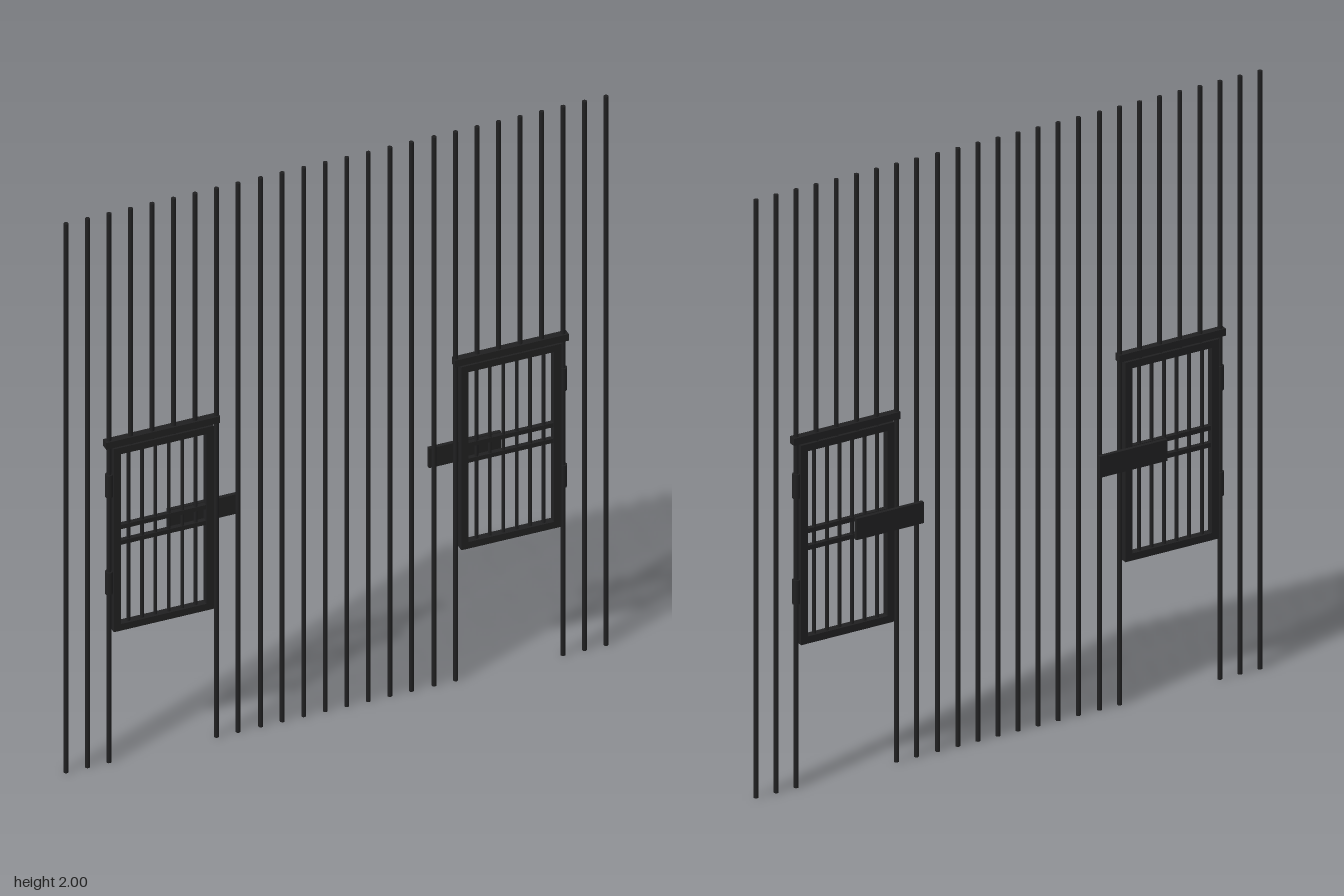
import * as THREE from 'three';

export function createModel() {
  const model = new THREE.Group();
  model.name = 'barredWall';
  const iron = new THREE.MeshStandardMaterial({ color: 0x202021 });
  iron.name = 'dark iron';
  const Z = 0.0055; // plane of the bars

  const add = (parent, geometry, name, x, y, z = Z) => {
    const mesh = new THREE.Mesh(geometry, iron);
    mesh.name = name;
    mesh.position.set(x, y, z);
    parent.add(mesh);
  };
  // upright round rod between two heights
  const rod = (parent, name, x, y0, y1, r) =>
    add(parent, new THREE.CylinderGeometry(r, r, y1 - y0, 12), name, x, (y0 + y1) / 2);
  // box between two corners in the xy plane
  const box = (parent, name, x0, x1, y0, y1, z0 = Z - 0.012, z1 = Z + 0.012) =>
    add(parent, new THREE.BoxGeometry(x1 - x0, y1 - y0, z1 - z0), name,
      (x0 + x1) / 2, (y0 + y1) / 2, (z0 + z1) / 2);

  for (const side of [1, -1]) {
    // wall bars: four in the middle section, nine in the gate section
    for (let i = 0; i < 4; i++) rod(model, 'wallBar', side * (0.0352 + i * 0.0704), 0, 2, 0.0075);
    for (let i = 0; i < 9; i++) {
      const overGate = i >= 2 && i <= 5;
      rod(model, overGate ? 'barAboveGate' : 'wallBar', side * (0.321 + i * 0.0703), overGate ? 1.142 : 0, 2, 0.0075);
    }

    const gate = new THREE.Group();
    gate.name = side > 0 ? 'leftGate' : 'rightGate';
    model.add(gate);
    // signed helper so both gates mirror each other
    const part = (name, a, b, ...rest) =>
      box(gate, name, Math.min(side * a, side * b), Math.max(side * a, side * b), ...rest);

    // lintel and door frame
    part('lintel', 0.384, 0.757, 1.149, 1.173);
    part('frameTop', 0.405, 0.732, 1.12, 1.144);
    part('frameBottom', 0.405, 0.732, 0.477, 0.501);
    part('frameInnerPost', 0.405, 0.429, 0.501, 1.12);
    part('frameOuterPost', 0.708, 0.732, 0.501, 1.12);

    // door bars and the two rails beside the lock
    for (let i = 0; i < 6; i++) rod(gate, 'doorBar', side * (0.459 + i * 0.0441), 0.49, 1.13, 0.006);
    for (const y of [0.794, 0.851]) part('doorRail', 0.42, 0.72, y - 0.0075, y + 0.0075, Z - 0.0075, Z + 0.0075);

    // lock plate on the back, reaching past the frame
    part('lockPlate', 0.309, 0.545, 0.787, 0.858, -0.0175, -0.0055);

    // hinges around the outer wall bar
    rod(gate, 'upperHinge', side * 0.743, 0.968, 1.049, 0.012);
    rod(gate, 'lowerHinge', side * 0.743, 0.615, 0.695, 0.012);
  }
  return model;
}
